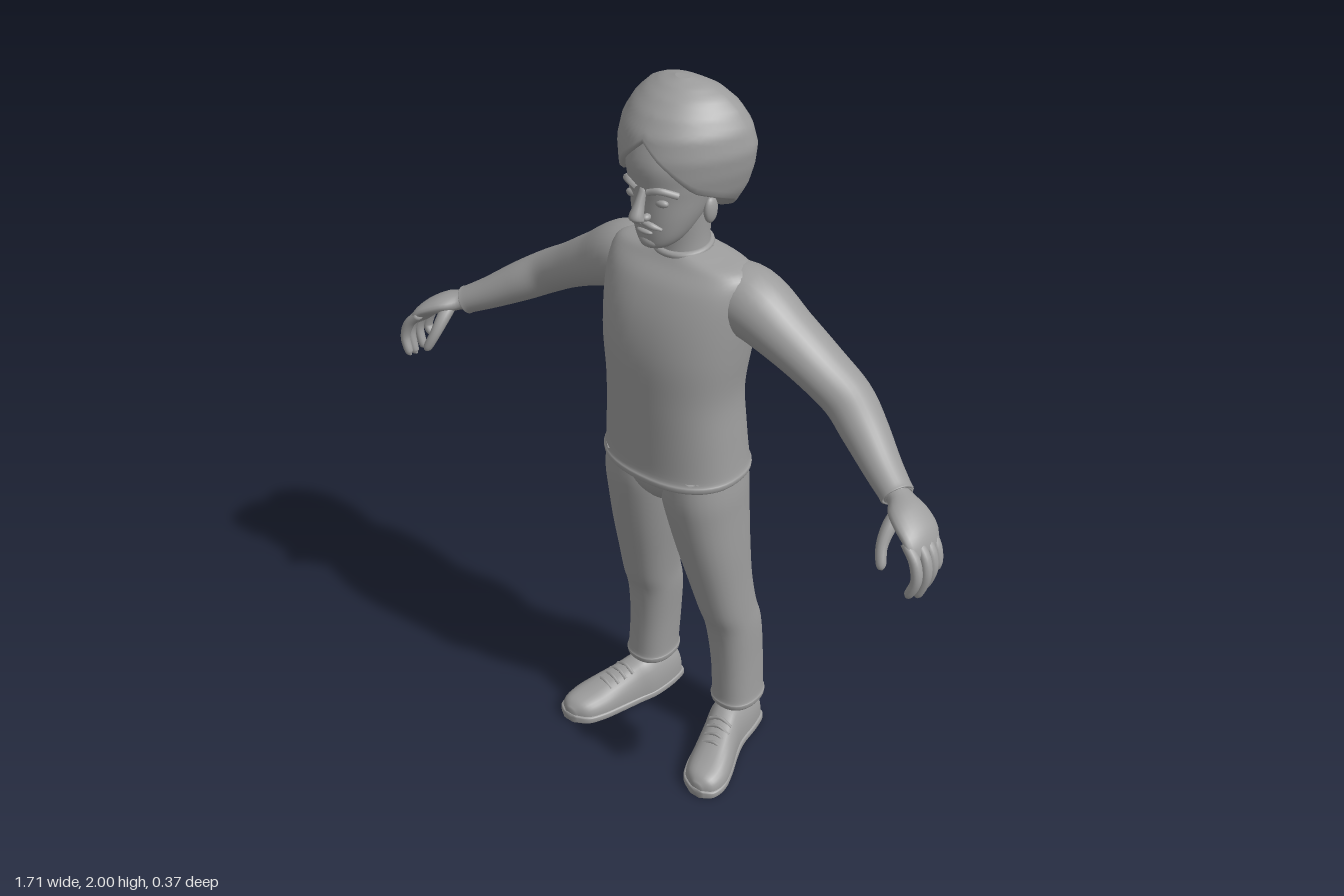
import * as THREE from 'three';

const V = (x, y, z) => new THREE.Vector3(x, y, z);
const grey = new THREE.MeshStandardMaterial({ color: 0x9c9c9c });
grey.name = 'clay grey';

// Skin rows of points (closed rings) into one smooth, capped surface
function skin(rows) {
  const n = rows[0].length, pos = [], idx = [];
  rows.forEach(r => r.forEach(p => pos.push(p.x, p.y, p.z)));
  for (let i = 0; i < rows.length - 1; i++) for (let j = 0; j < n; j++) {
    const a = i * n + j, b = i * n + (j + 1) % n;
    idx.push(a, b, b + n, a, b + n, a + n);
  }
  [0, rows.length - 1].forEach((i, end) => {
    const c = rows[i].reduce((s, p) => s.add(p), V(0, 0, 0)).divideScalar(n);
    const k = pos.length / 3;
    pos.push(c.x, c.y, c.z);
    for (let j = 0; j < n; j++) {
      const a = i * n + j, b = i * n + (j + 1) % n;
      if (end) idx.push(a, b, k); else idx.push(b, a, k);
    }
  });
  const g = new THREE.BufferGeometry();
  g.setAttribute('position', new THREE.Float32BufferAttribute(pos, 3));
  g.setIndex(idx);
  g.computeVertexNormals();
  return g;
}

// Loft through keys [x, y, z, radiusU, radiusV]; u = ref x tangent, v = tangent x u
function loft(keys, { ref = V(1, 0, 0), axis = null, e = 2, n = 28, sub = 5, floor = -1 } = {}) {
  const path = new THREE.CatmullRomCurve3(keys.map(k => V(k[0], k[1], k[2])), false, 'catmullrom');
  const radii = new THREE.CatmullRomCurve3(keys.map(k => V(k[3], k[4], 0)), false, 'catmullrom');
  const total = (keys.length - 1) * sub, rows = [];
  const power = c => Math.sign(c) * Math.pow(Math.abs(c), 2 / e);
  for (let i = 0; i <= total; i++) {
    const c = path.getPoint(i / total), r = radii.getPoint(i / total);
    const t = axis || path.getTangent(i / total);
    const u = ref.clone().cross(t).normalize(), v = t.clone().cross(u);
    const row = [];
    for (let j = 0; j < n; j++) {
      const a = j / n * Math.PI * 2;
      const p = c.clone().addScaledVector(u, power(Math.cos(a)) * r.x).addScaledVector(v, power(Math.sin(a)) * r.y);
      p.y = Math.max(p.y, floor);
      row.push(p);
    }
    rows.push(row);
  }
  return skin(rows);
}

// Upright loft from [y, x, halfWidth, zFront, zBack]
const upright = (keys, opts) => loft(
  keys.map(([y, x, w, f, b]) => [x, y, (f + b) / 2, (f - b) / 2, w]), { axis: V(0, 1, 0), ...opts });

function mirrored(g) {
  const m = g.clone().scale(-1, 1, 1), ix = m.index.array;
  for (let i = 0; i < ix.length; i += 3) [ix[i], ix[i + 1]] = [ix[i + 1], ix[i]];
  m.computeVertexNormals();
  return m;
}

// Turban: egg-shaped shell with a slanted rim that peaks over the forehead
function turban() {
  const lerp = (table, y, k) => {
    let i = 0;
    while (i < table.length - 2 && y > table[i + 1][0]) i++;
    const a = table[i], b = table[i + 1];
    return THREE.MathUtils.lerp(a[k], b[k], THREE.MathUtils.clamp((y - a[0]) / (b[0] - a[0]), 0, 1));
  };
  // y, half width, front z, back z
  const profile = [[1.63, 0.085, 0.09, -0.12], [1.69, 0.12, 0.105, -0.16], [1.75, 0.153, 0.117, -0.18],
    [1.8, 0.168, 0.12, -0.187], [1.85, 0.175, 0.118, -0.187], [1.9, 0.163, 0.104, -0.174],
    [1.94, 0.138, 0.075, -0.15], [1.97, 0.105, 0.04, -0.12], [1.99, 0.065, 0.005, -0.085], [2, 0.02, -0.025, -0.05]];
  const n = 64, m = 26, rows = [];
  for (let i = -2; i <= m; i++) {
    const row = [], s = Math.sin(Math.max(i, 0) / m * Math.PI / 2);
    for (let j = 0; j < n; j++) {
      const a = j / n * Math.PI * 2, c = Math.cos(a), side = Math.abs(Math.sin(a));
      const rim = 1.725 + 0.075 * c + (c > 0 ? 0.09 * Math.max(0, 1 - side / 0.75) : 0);
      const y = rim + (2 - rim) * s;
      const zc = lerp(profile, y, 2) * 0.38 + lerp(profile, y, 3) * 0.62;
      const reach = c > 0 ? lerp(profile, y, 2) - zc : zc - lerp(profile, y, 3);
      const k = i === -2 ? 0.8 : i === -1 ? 0.96 : 1;
      const w = lerp(profile, y, 1) * (c > 0 ? 1 - 0.12 * c : 1);
      row.push(V(w * Math.sin(a) * k, y + (i === -1 ? -0.006 : 0), zc + reach * c * k));
    }
    rows.push(row);
  }
  return skin(rows);
}

export function createModel() {
  const model = new THREE.Group();
  const add = (name, g) => {
    const mesh = new THREE.Mesh(g, grey);
    mesh.name = name;
    model.add(mesh);
  };
  const pair = (name, g) => { add(name + 'Left', g); add(name + 'Right', mirrored(g)); };
  const ball = (x, y, z, sx, sy, sz) => new THREE.SphereGeometry(1, 18, 12).scale(sx, sy, sz).translate(x, y, z);
  const tube = (pts, r) => new THREE.TubeGeometry(new THREE.CatmullRomCurve3(pts.map(p => V(...p))), 14, r, 8);

  // Sweater body with rolled hem
  add('sweater', upright([
    [0.955, 0, 0.18, 0.11, -0.155], [0.95, 0, 0.198, 0.128, -0.172], [0.965, 0, 0.204, 0.132, -0.176],
    [0.985, 0, 0.198, 0.126, -0.17], [1.08, 0, 0.189, 0.128, -0.164], [1.2, 0, 0.182, 0.132, -0.16],
    [1.32, 0, 0.195, 0.132, -0.176], [1.42, 0, 0.205, 0.113, -0.184], [1.5, 0, 0.208, 0.078, -0.168],
    [1.545, 0, 0.19, 0.04, -0.135], [1.565, 0, 0.12, 0.025, -0.115], [1.575, 0, 0.07, 0.018, -0.105]], { e: 2.3, n: 48 }));
  add('collar', new THREE.TorusGeometry(0.068, 0.009, 10, 36).rotateX(Math.PI / 2 + 0.08).translate(0, 1.574, -0.043));

  // Sleeves, bent forward at the elbow
  pair('sleeve', loft([
    [0.08, 1.46, -0.065, 0.085, 0.085], [0.19, 1.462, -0.068, 0.089, 0.092], [0.3, 1.408, -0.072, 0.071, 0.08],
    [0.4, 1.35, -0.076, 0.06, 0.072], [0.48, 1.303, -0.072, 0.058, 0.066], [0.55, 1.262, -0.042, 0.054, 0.06],
    [0.63, 1.215, -0.002, 0.044, 0.05], [0.685, 1.186, 0.024, 0.038, 0.044], [0.698, 1.179, 0.03, 0.038, 0.043],
    [0.7, 1.178, 0.031, 0.027, 0.032]], { ref: V(0, 0, 1) }));

  // Hands: palm, four hanging fingers and a thumb
  pair('palm', loft([
    [0.67, 1.19, 0.02, 0.025, 0.03], [0.71, 1.178, 0.036, 0.026, 0.034], [0.75, 1.168, 0.06, 0.025, 0.054],
    [0.79, 1.145, 0.078, 0.022, 0.06], [0.813, 1.115, 0.088, 0.016, 0.055], [0.816, 1.1, 0.09, 0.006, 0.04]],
  { ref: V(0, 0, 1), n: 20 }));
  for (let i = 0; i < 4; i++) {
    const z = 0.128 - i * 0.029, tip = [1.012, 1, 1.006, 1.032][i], out = [0, 0.008, 0.006, 0][i];
    pair('finger' + (i + 1), loft([
      [0.787 + out, 1.142, z, 0.012, 0.013], [0.82 + out, 1.108, z + 0.008, 0.0145, 0.0145],
      [0.833 + out, 1.065, z + 0.016, 0.0135, 0.0135], [0.82 + out, tip + 0.012, z + 0.02, 0.0115, 0.0115],
      [0.813 + out, tip, z + 0.02, 0.003, 0.003]], { ref: V(0, 0, 1), n: 12 }));
  }
  pair('thumb', loft([
    [0.728, 1.172, 0.06, 0.018, 0.02], [0.724, 1.143, 0.098, 0.018, 0.018], [0.727, 1.105, 0.13, 0.0145, 0.0145],
    [0.74, 1.068, 0.148, 0.012, 0.012], [0.744, 1.056, 0.15, 0.003, 0.003]], { ref: V(1, 0, 0), n: 14 }));

  // Trousers
  pair('trouserLeg', upright([
    [0.14, 0.156, 0.052, -0.045, -0.165], [0.128, 0.156, 0.065, -0.032, -0.182], [0.145, 0.156, 0.07, -0.026, -0.187],
    [0.165, 0.155, 0.066, -0.03, -0.183], [0.28, 0.148, 0.066, -0.03, -0.186], [0.4, 0.14, 0.07, -0.018, -0.18],
    [0.48, 0.134, 0.071, 0.008, -0.16], [0.58, 0.124, 0.077, 0.034, -0.147], [0.7, 0.112, 0.087, 0.065, -0.144],
    [0.82, 0.1, 0.095, 0.092, -0.148], [0.9, 0.094, 0.099, 0.106, -0.15], [0.98, 0.09, 0.095, 0.108, -0.15]], { e: 2.3 }));
  add('trouserSeat', upright([
    [0.835, 0, 0.012, 0.02, -0.07], [0.87, 0, 0.06, 0.075, -0.13], [0.92, 0, 0.13, 0.104, -0.15],
    [0.98, 0, 0.17, 0.108, -0.152]], { e: 2.4 }));

  // Shoes turned outward, lofted heel to toe over flat soles
  const shoe = [[0.147, -0.181, 0.02, 0.07], [0.148, -0.172, 0.046, 0.105], [0.152, -0.12, 0.057, 0.128],
    [0.16, -0.05, 0.059, 0.132], [0.178, 0.0, 0.06, 0.114], [0.202, 0.06, 0.065, 0.092],
    [0.22, 0.115, 0.065, 0.073], [0.23, 0.16, 0.05, 0.061], [0.235, 0.183, 0.016, 0.042]];
  const along = { ref: V(-1, 0, 0), axis: V(0, 0, 1), e: 2.4 };
  pair('shoe', loft(shoe.map(([x, z, w, h]) => [x, 0.02, z, h - 0.02, w]), { ...along, floor: 0.006 }));
  pair('sole', loft(shoe.map(([x, z, w]) => [x, 0.013, z + Math.sign(z) * 0.004, 0.013, w + 0.005]), { ...along, e: 5 }));
  for (let i = 0; i < 4; i++) {
    const x = 0.177 + i * 0.009, y = 0.118 - i * 0.009, z = -0.002 + i * 0.022;
    pair('lace' + (i + 1), tube([[x - 0.034, y - 0.014, z + 0.006], [x, y, z], [x + 0.034, y - 0.016, z - 0.004]], 0.005));
  }

  // Neck and head
  add('neck', upright([[1.54, 0, 0.074, 0.025, -0.112], [1.6, 0, 0.066, 0.018, -0.108], [1.7, 0, 0.068, 0.02, -0.112]]));
  add('head', upright([
    [1.607, 0, 0.022, 0.078, 0.02], [1.618, 0, 0.043, 0.094, -0.01], [1.645, 0, 0.063, 0.1, -0.04],
    [1.69, 0, 0.081, 0.104, -0.09], [1.74, 0, 0.093, 0.106, -0.13], [1.775, 0, 0.099, 0.109, -0.14],
    [1.83, 0, 0.104, 0.111, -0.14], [1.9, 0, 0.085, 0.084, -0.11]], { e: 2.2, n: 40 }));
  add('nose', loft([
    [0, 1.775, 0.102, 0.008, 0.009], [0, 1.74, 0.118, 0.014, 0.012], [0, 1.712, 0.13, 0.018, 0.018],
    [0, 1.7, 0.126, 0.016, 0.019], [0, 1.693, 0.115, 0.006, 0.01]], { axis: V(0, 1, 0).negate(), ref: V(1, 0, 0), n: 16 }));
  pair('nostril', ball(0.015, 1.705, 0.112, 0.01, 0.009, 0.013));
  pair('brow', tube([[0.016, 1.768, 0.107], [0.045, 1.776, 0.1], [0.078, 1.763, 0.072]], 0.009));
  pair('eyelid', ball(0.042, 1.742, 0.09, 0.02, 0.011, 0.012));
  pair('moustache', loft([
    [0, 1.686, 0.106, 0.007, 0.008], [0.025, 1.681, 0.103, 0.008, 0.009], [0.045, 1.673, 0.091, 0.003, 0.004]],
  { ref: V(0, 0, 1), n: 12 }));
  add('lowerLip', ball(0, 1.66, 0.1, 0.023, 0.007, 0.01));
  add('chin', ball(0, 1.63, 0.08, 0.03, 0.02, 0.022));
  pair('ear', ball(0.089, 1.69, -0.035, 0.013, 0.034, 0.022));
  add('turban', turban());

  return model;
}
